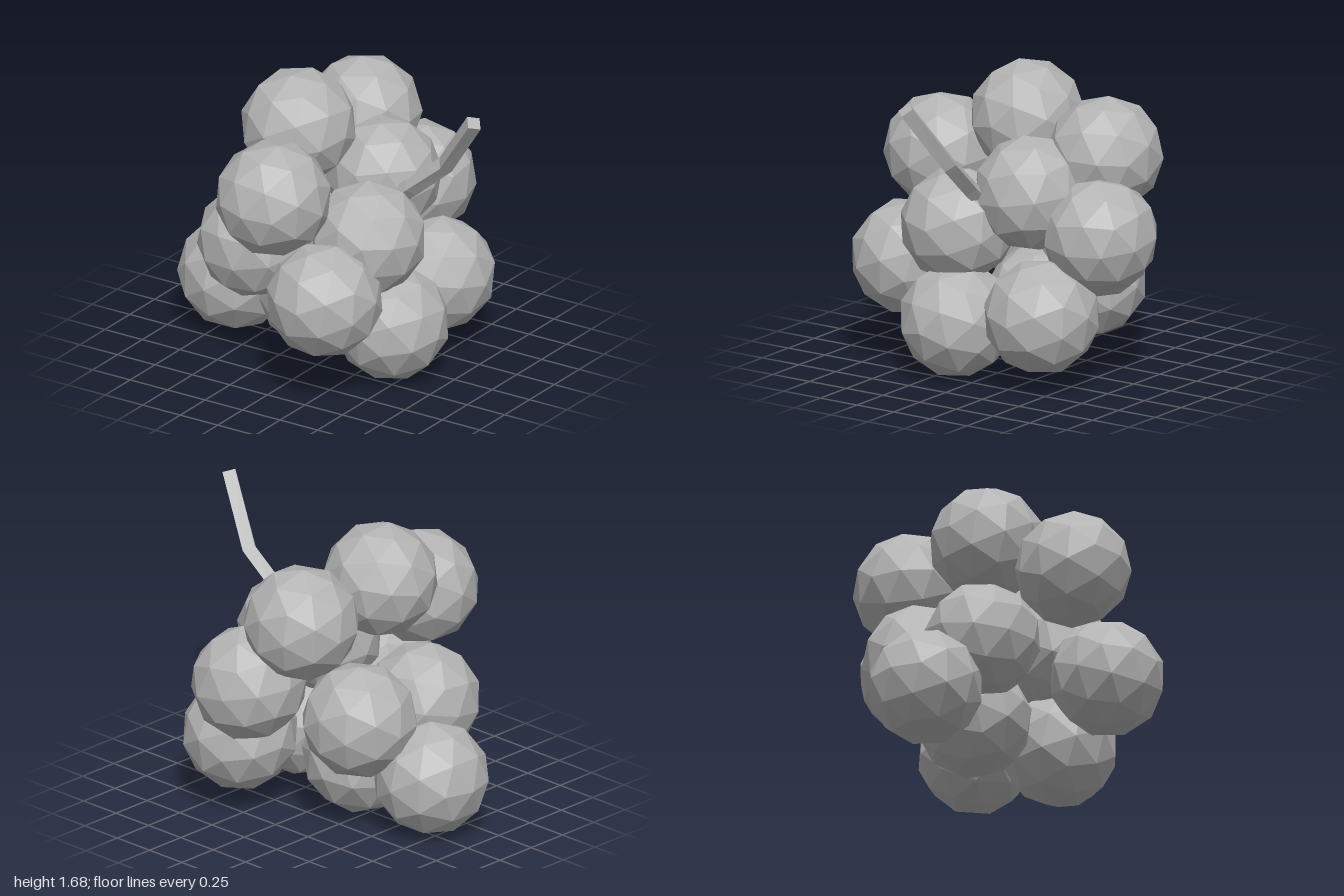
import * as THREE from 'three';

const grey = new THREE.MeshStandardMaterial({ color: 0xb4b4b4, flatShading: true });
grey.name = 'plain grey';

// Centres of the berries, lowest layer first
const BERRIES = [
  [-0.68, 0.33, 0.04], [-0.17, 0.325, 0.0], [0.43, 0.33, 0.15], [0.38, 0.42, -0.39],
  [-0.42, 0.66, 0.24], [0.275, 0.59, 0.59], [-0.38, 0.66, -0.22],
  [0.32, 0.84, 0.22], [0.11, 0.86, -0.6], [0.165, 1.05, -0.17],
  [-0.06, 1.13, 0.6], [-0.15, 1.25, -0.45], [-0.21, 1.36, 0.12],
];

// Four-sided bar whose rings follow a bent path, tip first
function stemGeometry(path, radius) {
  const n = path.length - 1;
  const geo = new THREE.CylinderGeometry(radius, radius, 1, 4, n);
  const pos = geo.attributes.position;
  const up = new THREE.Vector3(0, 1, 0);
  const turns = path.map((p, i) => {
    const dir = path[Math.max(i - 1, 0)].clone().sub(path[Math.min(i + 1, n)]).normalize();
    return new THREE.Quaternion().setFromUnitVectors(up, dir);
  });
  const v = new THREE.Vector3();
  for (let i = 0; i < pos.count; i++) {
    const ring = Math.round((0.5 - pos.getY(i)) * n);
    v.set(pos.getX(i), 0, pos.getZ(i)).applyQuaternion(turns[ring]).add(path[ring]);
    pos.setXYZ(i, v.x, v.y, v.z);
  }
  geo.computeVertexNormals();
  return geo;
}

export function createModel() {
  const group = new THREE.Group();
  group.name = 'berryCluster';

  // Faceted berries, each turned differently
  const berryGeo = new THREE.IcosahedronGeometry(0.328, 1);
  BERRIES.forEach((centre, i) => {
    const berry = new THREE.Mesh(berryGeo, grey);
    berry.name = `berry${i + 1}`;
    berry.position.set(...centre);
    berry.rotation.set(i * 1.3, i * 2.1, i * 0.7);
    group.add(berry);
  });

  // Bent stem running into the cluster
  const path = [
    [0.962, 1.657, 0.125], [0.70, 1.30, 0.015], [0.48, 1.115, 0.03], [0.1, 0.8, 0.0],
  ].map((p) => new THREE.Vector3(...p));
  const stem = new THREE.Mesh(stemGeometry(path, 0.052), grey);
  stem.name = 'stem';
  group.add(stem);

  return group;
}
